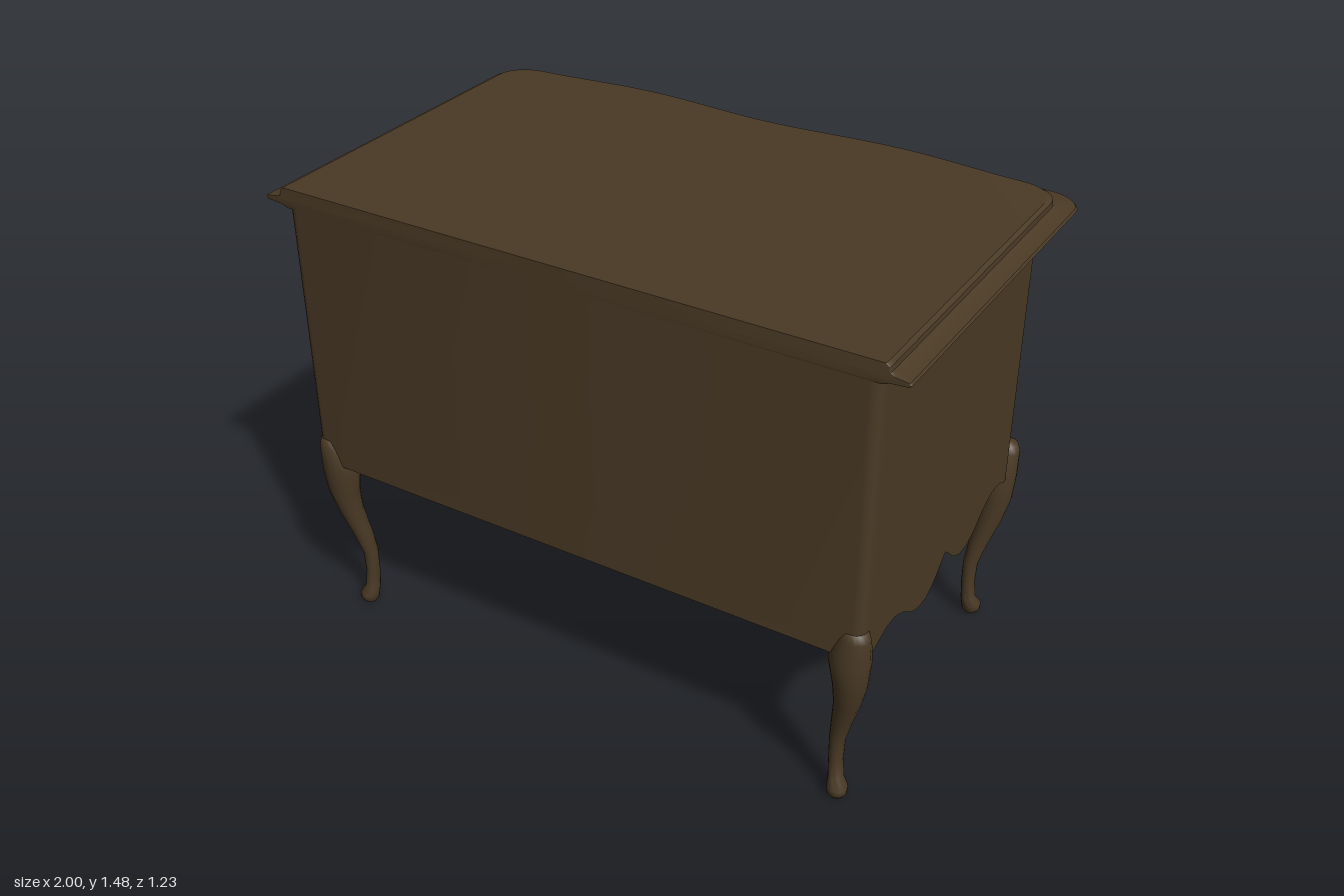
import * as THREE from 'three';
import { toCreasedNormals } from 'three/addons/utils/BufferGeometryUtils.js';

const walnut = new THREE.MeshStandardMaterial({ color: 0x4a3a25, side: THREE.DoubleSide });
walnut.name = 'dark walnut';

// Serpentine bulge of the drawer front, as an offset outwards
const bulge = (x) => {
  const a = Math.abs(x);
  return a < 0.42 ? 0.0125 * (1 - Math.cos(Math.PI * a / 0.42))
    : -0.01 + 0.0175 * (1 + Math.cos(Math.PI * Math.min(1, (a - 0.42) / 0.46)));
};

// Linear lookup in a list of [position, value]
function lookup(table, t) {
  for (let i = 1; i < table.length; i++) {
    const [a, va] = table[i - 1], [b, vb] = table[i];
    if (t <= b) return va + (vb - va) * Math.max(0, t - a) / (b - a);
  }
  return table[table.length - 1][1];
}

function mesh(name, geometry, crease = 0.6) {
  const m = new THREE.Mesh(crease ? toCreasedNormals(geometry, crease) : geometry, walnut);
  m.name = name;
  return m;
}

// Skin over closed rings of [x, y, z], listed from bottom to top
function loft(rings, capBottom, capTop) {
  const n = rings[0].length, pos = rings.flat(2), idx = [];
  for (let r = 0; r < rings.length - 1; r++) {
    for (let i = 0; i < n; i++) {
      const a = r * n + i, b = r * n + (i + 1) % n;
      idx.push(a, a + n, b, b, a + n, b + n);
    }
  }
  const cap = (r, flip) => {
    const tris = THREE.ShapeUtils.triangulateShape(rings[r].map((p) => new THREE.Vector2(p[0], p[2])), []);
    const probe = tris[0].map((i) => rings[r][i]);
    const area = (probe[1][0] - probe[0][0]) * (probe[2][2] - probe[0][2]) - (probe[1][2] - probe[0][2]) * (probe[2][0] - probe[0][0]);
    const facesDown = area > 0;
    tris.forEach(([a, b, c]) => (facesDown === flip ? idx.push(r * n + a, r * n + b, r * n + c) : idx.push(r * n + a, r * n + c, r * n + b)));
  };
  if (capBottom) cap(0, true);
  if (capTop) cap(rings.length - 1, false);
  const g = new THREE.BufferGeometry();
  g.setAttribute('position', new THREE.Float32BufferAttribute(pos, 3));
  g.setIndex(idx);
  return g;
}

// Plan outline: serpentine front at -z, rounded front corners, straight back at z = 0.6
function outline(w, front, cx, cz, backR) {
  const half = [];
  const xe = w - cx, ze = -(front + bulge(xe));
  for (let i = 0; i < 48; i++) { const x = xe * i / 48; half.push([x, -(front + bulge(x)), 'front']); }
  for (let i = 0; i <= 8; i++) {
    const a = Math.PI / 2 * i / 8;
    half.push([xe + cx * Math.sin(a), ze + cz * (1 - Math.cos(a)), 'corner']);
  }
  const z0 = ze + cz, z1 = 0.6 - backR;
  for (let i = 1; i < 48; i++) half.push([w, z0 + (z1 - z0) * i / 48, 'side']);
  for (let i = 0; i <= 4; i++) {
    const a = Math.PI / 2 * i / 4;
    half.push([w - backR * (1 - Math.cos(a)), z1 + backR * Math.sin(a), 'back']);
  }
  half.push([0, 0.6, 'back']);
  const other = half.slice(1, -1).reverse().map(([x, z, k]) => [-x, z, k]);
  return [...half, ...other];
}

// Scalloped lower edges of the front and side aprons
const frontEdge = [[0, 0.45], [0.05, 0.46], [0.09, 0.495], [0.12, 0.545], [0.15, 0.557], [0.2, 0.53], [0.24, 0.497], [0.28, 0.53],
  [0.31, 0.505], [0.35, 0.492], [0.42, 0.508], [0.49, 0.56], [0.56, 0.598], [0.65, 0.615], [0.74, 0.59], [0.8, 0.555]];
const sideEdge = [[0, 0.575], [0.03, 0.55], [0.07, 0.512], [0.12, 0.49], [0.17, 0.49], [0.22, 0.508], [0.27, 0.545],
  [0.33, 0.573], [0.39, 0.575], [0.45, 0.555], [0.48, 0.545]];

function carcass() {
  const plan = outline(0.922, 0.5, 0.11, 0.1, 0.03);
  const low = ([x, z, k]) => k === 'front' ? lookup(frontEdge, Math.abs(x))
    : k === 'side' ? lookup(sideEdge, Math.abs(z - 0.05)) : k === 'back' ? 0.565 : 0.55;
  const ring = (yOf, flare) => plan.map((p) => [p[0], yOf(p), p[1] - (p[2] === 'front' ? flare * Math.min(1, (0.81 - Math.abs(p[0])) / 0.2) : 0)]);
  const g = new THREE.Group();
  g.name = 'carcass';
  g.add(mesh('case walls and aprons', loft([ring(low, 0.018), ring((p) => (low(p) + 0.66) / 2, 0.014), ring(() => 0.66, 0), ring(() => 1.43, 0)])));
  const floor = new THREE.ShapeGeometry(new THREE.Shape(plan.map(([x, z]) => new THREE.Vector2(x * 0.995, z * 0.995))));
  floor.rotateX(Math.PI / 2).translate(0, 0.6, 0);
  g.add(mesh('case floor', floor));
  return g;
}

// Top board with a moulded lip, flush at the back
function topBoard() {
  const layers = [[0.925, 0.515, 1.418], [0.945, 0.54, 1.426], [0.995, 0.585, 1.43], [1, 0.59, 1.435], [0.995, 0.586, 1.442],
    [0.955, 0.55, 1.448], [0.945, 0.54, 1.455], [0.943, 0.538, 1.47], [0.932, 0.528, 1.478]];
  return mesh('top board', loft(layers.map(([w, f, y]) => outline(w, f, 0.11, 0.09, 0.004).map(([x, z]) => [x, y, z])), true, true));
}

// Strip following the serpentine front, between two heights
function frontStrip(name, halfW, y0, y1, depth, bevel) {
  const pts = [], n = 48, w = halfW - bevel;
  for (let i = 0; i <= n; i++) { const x = -w + 2 * w * i / n; pts.push(new THREE.Vector2(x, -(depth - bevel + bulge(x)))); }
  for (let i = n; i >= 0; i--) { const x = -w + 2 * w * i / n; pts.push(new THREE.Vector2(x, -(0.485 + bulge(x)))); }
  const g = new THREE.ExtrudeGeometry(new THREE.Shape(pts), {
    depth: y1 - y0 - 2 * bevel, bevelSize: bevel, bevelThickness: bevel, bevelSegments: 2,
  });
  g.rotateX(Math.PI / 2).translate(0, y1 - bevel, 0);
  return mesh(name, g, 0.5);
}

// Swag pull: two knobs, a hanging bail and beads that swell to the middle
function handle(cx, cy) {
  const g = new THREE.Group();
  g.name = 'drawer handle';
  const at = (t, out) => {
    const x = cx + 0.1 * t;
    return new THREE.Vector3(x, cy + 0.025 - 0.06 * (1 - t * t), -(0.52 + bulge(x)) - out);
  };
  for (const s of [-1, 1]) {
    const knob = mesh('handle knob', new THREE.SphereGeometry(0.018, 12, 8), 0);
    knob.position.copy(at(s, 0.01));
    g.add(knob);
  }
  const path = new THREE.CatmullRomCurve3([-1, -0.6, -0.2, 0.2, 0.6, 1].map((t) => at(t, 0.014)));
  g.add(mesh('handle bail', new THREE.TubeGeometry(path, 20, 0.006, 6), 0));
  for (const t of [-0.66, -0.34, 0, 0.34, 0.66]) {
    const bead = mesh('handle bead', new THREE.SphereGeometry(0.014 - 0.005 * Math.abs(t), 10, 6), 0);
    bead.scale.x = 1.3;
    bead.position.copy(at(t, 0.015));
    g.add(bead);
  }
  return g;
}

// Cabriole leg: [y, x centre, z centre, x radius, z radius]; z is measured from the plane z = 0.05
function leg(name, sx, sz) {
  const sections = [[0.003, 0.85, 0.482, 0.02, 0.02], [0.015, 0.851, 0.482, 0.029, 0.029], [0.035, 0.85, 0.481, 0.031, 0.032],
    [0.06, 0.841, 0.473, 0.023, 0.025], [0.12, 0.836, 0.47, 0.021, 0.023], [0.2, 0.837, 0.471, 0.023, 0.025],
    [0.28, 0.852, 0.482, 0.03, 0.032], [0.37, 0.872, 0.499, 0.039, 0.038], [0.45, 0.88, 0.509, 0.05, 0.047],
    [0.53, 0.876, 0.512, 0.06, 0.054], [0.575, 0.879, 0.515, 0.057, 0.05], [0.62, 0.889, 0.521, 0.045, 0.04],
    [0.645, 0.89, 0.521, 0.036, 0.033], [0.655, 0.89, 0.521, 0.018, 0.018]];
  const rings = sections.map(([y, x, z, rx, rz]) => Array.from({ length: 16 }, (_, i) => {
    const a = -sx * sz * Math.PI * 2 * i / 16;
    return [sx * (x + rx * Math.cos(a)), y, 0.05 + sz * (z + rz * Math.sin(a) * sx * sz)];
  }));
  // keep the winding outward on mirrored legs
  if (sx * sz < 0) rings.forEach((r) => r.reverse());
  return mesh(name, loft(rings, true, true), 1);
}

export function createModel() {
  const model = new THREE.Group();
  model.name = 'chest of drawers';
  model.add(carcass(), topBoard());

  // Two drawers with a bead between them
  for (const [y0, y1, hy] of [[0.665, 0.99, 0.785], [1.035, 1.37, 1.195]]) {
    model.add(frontStrip('drawer front', 0.79, y0, y1, 0.52, 0.008));
    for (const s of [-1, 1]) model.add(handle(s * 0.44, hy));
  }
  model.add(frontStrip('drawer divider', 0.79, 1.005, 1.02, 0.512, 0.004));

  for (const s of [-1, 1]) model.add(leg('back leg', s, 1), leg('front leg', s, -1));
  return model;
}
